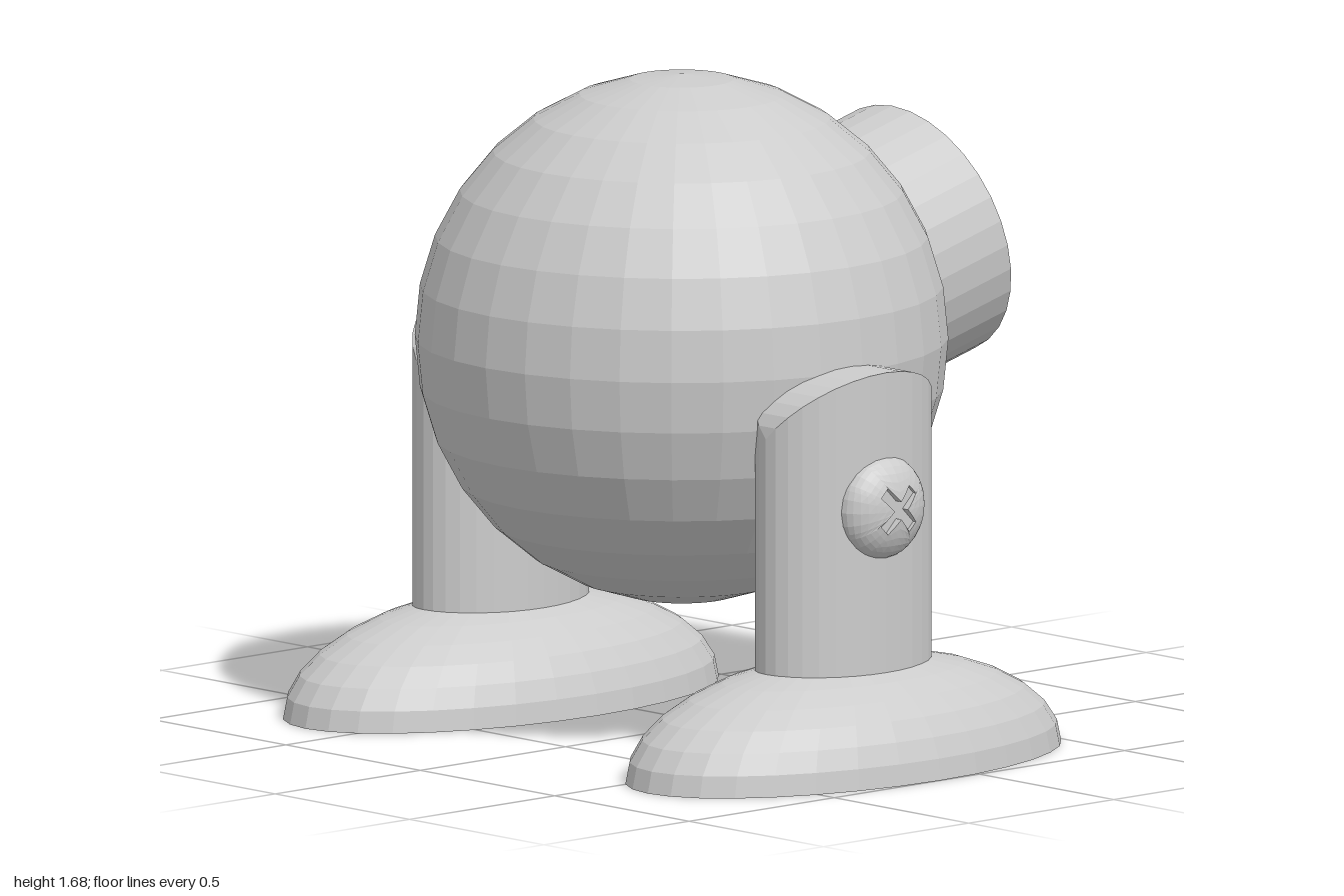
import * as THREE from 'three';

const grey = new THREE.MeshStandardMaterial({ color: 0xcccccc, flatShading: true });

function part(name, geometry, parent) {
  const mesh = new THREE.Mesh(geometry, grey);
  mesh.name = name;
  parent.add(mesh);
  return mesh;
}

// Elliptical post whose top is cut by an arch running across it
function legGeometry(rx, rz, bottom, shoulder, rise) {
  const geo = new THREE.BoxGeometry(2, 2, 2, 16, 1, 1);
  const p = geo.attributes.position;
  for (let i = 0; i < p.count; i++) {
    const a = (p.getX(i) + 1) * Math.PI / 2;
    const s = Math.sin(a);
    p.setXYZ(i, -rx * Math.cos(a), p.getY(i) > 0 ? shoulder + rise * s : bottom, Math.sign(p.getZ(i)) * rz * s);
  }
  geo.computeVertexNormals();
  return geo;
}

// Domed screw head with a cross-shaped recess: loops from the recess floor out to the round rim
function screwGeometry(R, height, floor) {
  const w = 0.016, L = 0.068;
  const arm = [[L, -w], [L, 0], [L, w], [0.045, w], [0.028, w], [w, w], [w, 0.028], [w, 0.045]];
  const outline = [];
  for (let q = 0; q < 4; q++) {
    for (const [x, y] of arm) {
      outline.push(new THREE.Vector2(x, y).rotateAround(new THREE.Vector2(), Math.PI / 4 + q * Math.PI / 2));
    }
  }
  const dome = (v) => height * Math.sqrt(Math.max(0, 1 - v.lengthSq() / (R * R)));
  const rings = [
    outline.map(() => [0, 0, floor]),
    outline.map((v) => [v.x, v.y, floor]),
  ];
  const steps = 7;
  for (let k = 0; k <= steps; k++) {
    const t = Math.sin((k / steps) * Math.PI / 2);
    rings.push(outline.map((v) => {
      const q = v.clone().lerp(v.clone().setLength(R), t);
      return [q.x, q.y, dome(q)];
    }));
  }
  const n = outline.length, index = [];
  for (let i = 0; i < rings.length - 1; i++) {
    for (let j = 0; j < n; j++) {
      const a = i * n + j, b = i * n + (j + 1) % n;
      index.push(a, a + n, b + n);
      if (i > 0) index.push(a, b + n, b);
    }
  }
  const geo = new THREE.BufferGeometry();
  geo.setAttribute('position', new THREE.Float32BufferAttribute(rings.flat(2), 3));
  geo.setIndex(index);
  geo.computeVertexNormals();
  return geo;
}

// Foot, leg and screw, built facing +z
function makeLeg(name) {
  const g = new THREE.Group();
  g.name = name;
  part('foot', new THREE.SphereGeometry(1, 32, 8, 0, Math.PI * 2, 0, Math.PI / 2), g).scale.set(0.673, 0.28, 0.363);
  const sole = part('sole', new THREE.CircleGeometry(1, 32), g);
  sole.rotation.x = Math.PI / 2;
  sole.scale.set(0.673, 0.363, 1);
  part('leg', legGeometry(0.267, 0.16, 0.15, 0.86, 0.16), g);
  part('screw', screwGeometry(0.134, 0.08, 0.058), g).position.set(0, 0.673, 0.138);
  return g;
}

export function createModel() {
  const model = new THREE.Group();
  model.name = 'ballOnLegs';

  // Ball body
  part('body', new THREE.SphereGeometry(0.675, 32, 16), model).position.set(-0.1, 1.005, 0);

  // Hollow snout, tilted upwards by 15 degrees
  const length = 0.35, tilt = Math.PI / 12;
  const profile = [[0.336, 0], [0.336, length], [0.275, length], [0.275, 0], [0.336, 0]]
    .map(([x, y]) => new THREE.Vector2(x, y));
  const snout = part('snout', new THREE.LatheGeometry(profile, 32), model);
  snout.rotation.z = tilt - Math.PI / 2;
  snout.position.set(0.7125 - length * Math.cos(tilt), 1.185 - length * Math.sin(tilt), 0);

  // Two legs, front and back
  for (const side of [1, -1]) {
    const leg = makeLeg(side > 0 ? 'frontLeg' : 'backLeg');
    leg.position.set(-0.133, 0, side * 0.637);
    if (side < 0) leg.rotation.y = Math.PI;
    model.add(leg);
  }
  return model;
}
